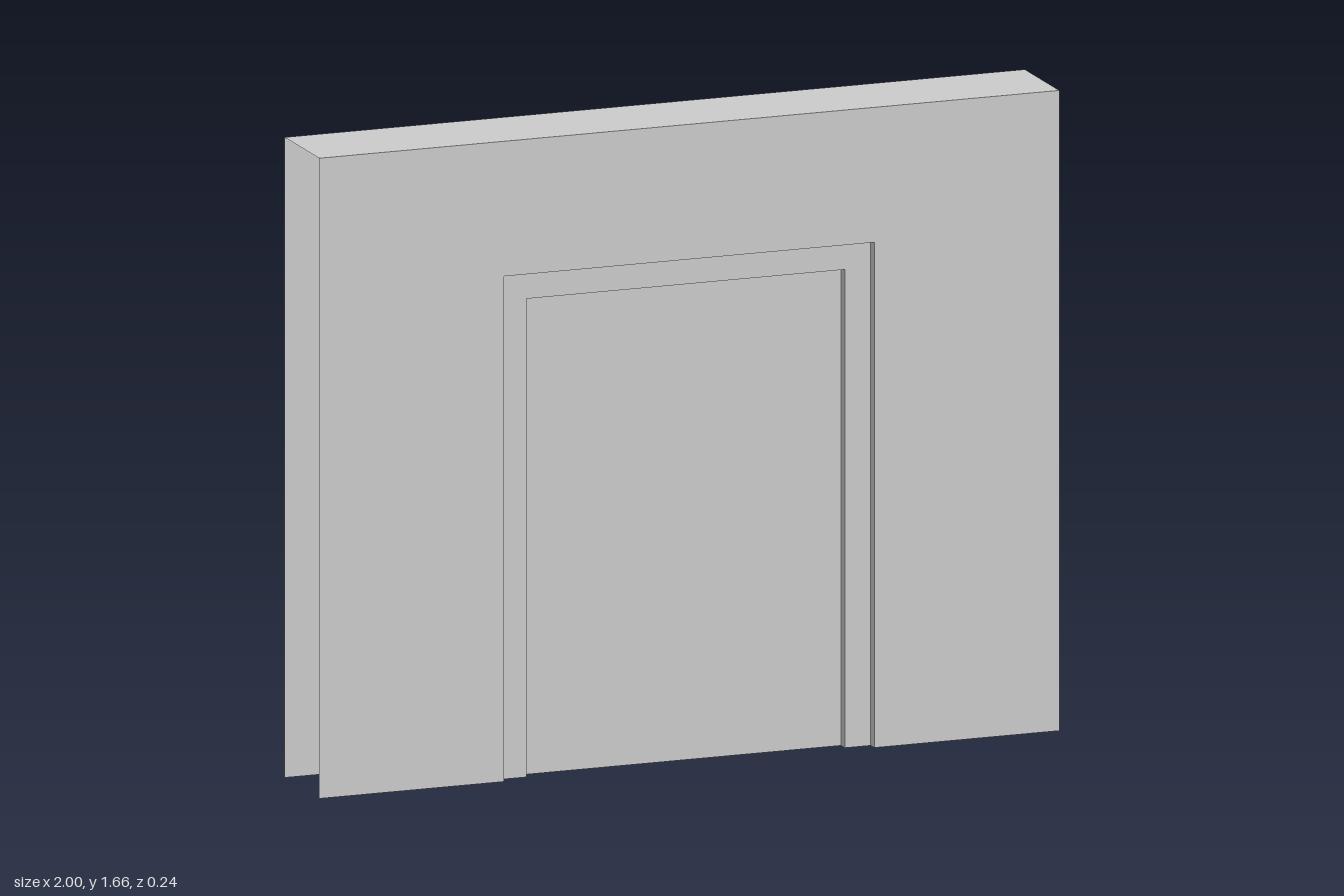
import * as THREE from 'three';
import { mergeGeometries } from 'three/addons/utils/BufferGeometryUtils.js';

const material = new THREE.MeshStandardMaterial({ color: 0xcccccc, side: THREE.DoubleSide });

// Hollow slab: front and back sheets of a counter-clockwise outline,
// joined only along the listed outline edges (the others stay open).
function hollowSlab(name, outline, edges, zBack, zFront) {
  const points = outline.map(([x, y]) => new THREE.Vector2(x, y));
  const front = new THREE.ShapeGeometry(new THREE.Shape(points)).translate(0, 0, zFront);
  const mirrored = points.map((p) => new THREE.Vector2(-p.x, p.y)).reverse();
  const back = new THREE.ShapeGeometry(new THREE.Shape(mirrored))
    .rotateY(Math.PI).translate(0, 0, zBack);
  const parts = [front, back];

  for (const i of edges) {
    const p = points[i];
    const q = points[(i + 1) % points.length];
    const dir = q.clone().sub(p);
    const strip = new THREE.PlaneGeometry(dir.length(), zFront - zBack);
    strip.rotateX(Math.PI / 2); // faces down, outward for an edge running along +x
    strip.rotateZ(Math.atan2(dir.y, dir.x));
    strip.translate((p.x + q.x) / 2, (p.y + q.y) / 2, (zFront + zBack) / 2);
    parts.push(strip);
  }
  const mesh = new THREE.Mesh(mergeGeometries(parts), material);
  mesh.name = name;
  return mesh;
}

// Arch-like outline: a rectangle with a doorway cut up from the floor
const portal = (w, h, openW, openH) => [
  [-w, 0], [-openW, 0], [-openW, openH], [openW, openH],
  [openW, 0], [w, 0], [w, h], [-w, h],
];

export function createModel() {
  const group = new THREE.Group();
  group.name = 'doorwayWall';

  // Wall with its top and doorway reveals; ends and underside are open
  group.add(hollowSlab('wall', portal(1, 1.66, 0.5, 1.31), [1, 2, 3, 6], -0.12, 0.12));

  // Door frame, set closer to the front of the wall
  group.add(hollowSlab('doorFrame', portal(0.5, 1.31, 0.43, 1.24), [1, 2, 3], -0.025, 0.095));

  // Two door leaves meeting just off centre
  const seam = -0.015;
  for (const [name, x0, x1] of [['rightDoorLeaf', -0.43, seam], ['leftDoorLeaf', seam, 0.43]]) {
    const outline = [[x0, 0], [x1, 0], [x1, 1.24], [x0, 1.24]];
    group.add(hollowSlab(name, outline, [1, 2, 3], 0.02, 0.068));
  }
  return group;
}
